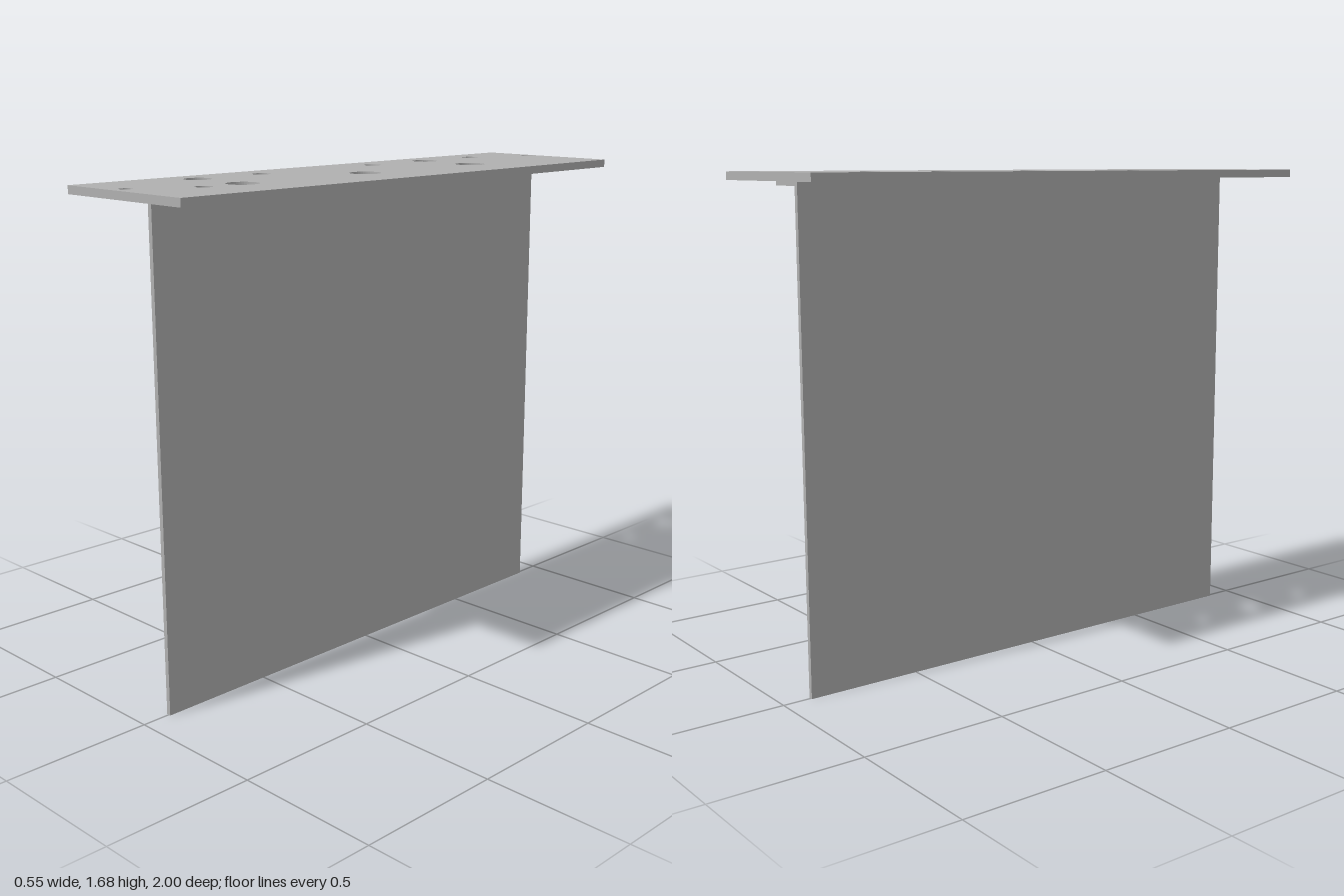
import * as THREE from 'three';

const TOP = 1.685, SEAM = 1.658;   // top and underside of the mounting plate
const HALF_WIDTH = 0.273;

// Drilled holes: x, z, radius
const HOLES = [
  [-0.055, -0.952, 0.021], [-0.052, 0.947, 0.021],
  [-0.162, -0.737, 0.03], [-0.165, -0.208, 0.03], [-0.162, 0.321, 0.03],
  [-0.162, -0.481, 0.045], [-0.162, 0.588, 0.045],
  [0.055, -0.483, 0.053], [0.055, 0.052, 0.053], [0.055, 0.588, 0.053],
  [0.058, 0.742, 0.028],
];

function shapeFrom(points) {
  return new THREE.Shape(points.map(([x, y]) => new THREE.Vector2(x, y)));
}

export function createModel() {
  const group = new THREE.Group();
  const metal = new THREE.MeshStandardMaterial({ color: 0xb0b0b0 });
  metal.name = 'grey metal';

  // Flat plate with drilled holes, laid down so shape y becomes -z
  const outline = shapeFrom([[-HALF_WIDTH, -1], [HALF_WIDTH, -1], [HALF_WIDTH, 1], [-HALF_WIDTH, 1]]);
  for (const [x, z, r] of HOLES) {
    outline.holes.push(new THREE.Path().absarc(x, -z, r, 0, Math.PI * 2, true));
  }
  const plateGeometry = new THREE.ExtrudeGeometry(outline, {
    depth: TOP - SEAM, bevelEnabled: false, curveSegments: 20,
  });
  plateGeometry.rotateX(-Math.PI / 2).translate(0, SEAM, 0);
  const plate = new THREE.Mesh(plateGeometry, metal);
  plate.name = 'mountingPlate';
  group.add(plate);

  // Bent sheet: tall blade with a short flange under the plate
  const t = 0.008, flangeBottom = SEAM - 0.016;
  const profile = shapeFrom([
    [-t, 0], [t, 0], [t, flangeBottom], [0.127, flangeBottom], [0.127, SEAM], [-t, SEAM],
  ]);
  const bladeGeometry = new THREE.ExtrudeGeometry(profile, { depth: 1.804, bevelEnabled: false });
  bladeGeometry.translate(0, 0, -0.902);
  const blade = new THREE.Mesh(bladeGeometry, metal);
  blade.name = 'flangedBlade';
  group.add(blade);

  return group;
}
